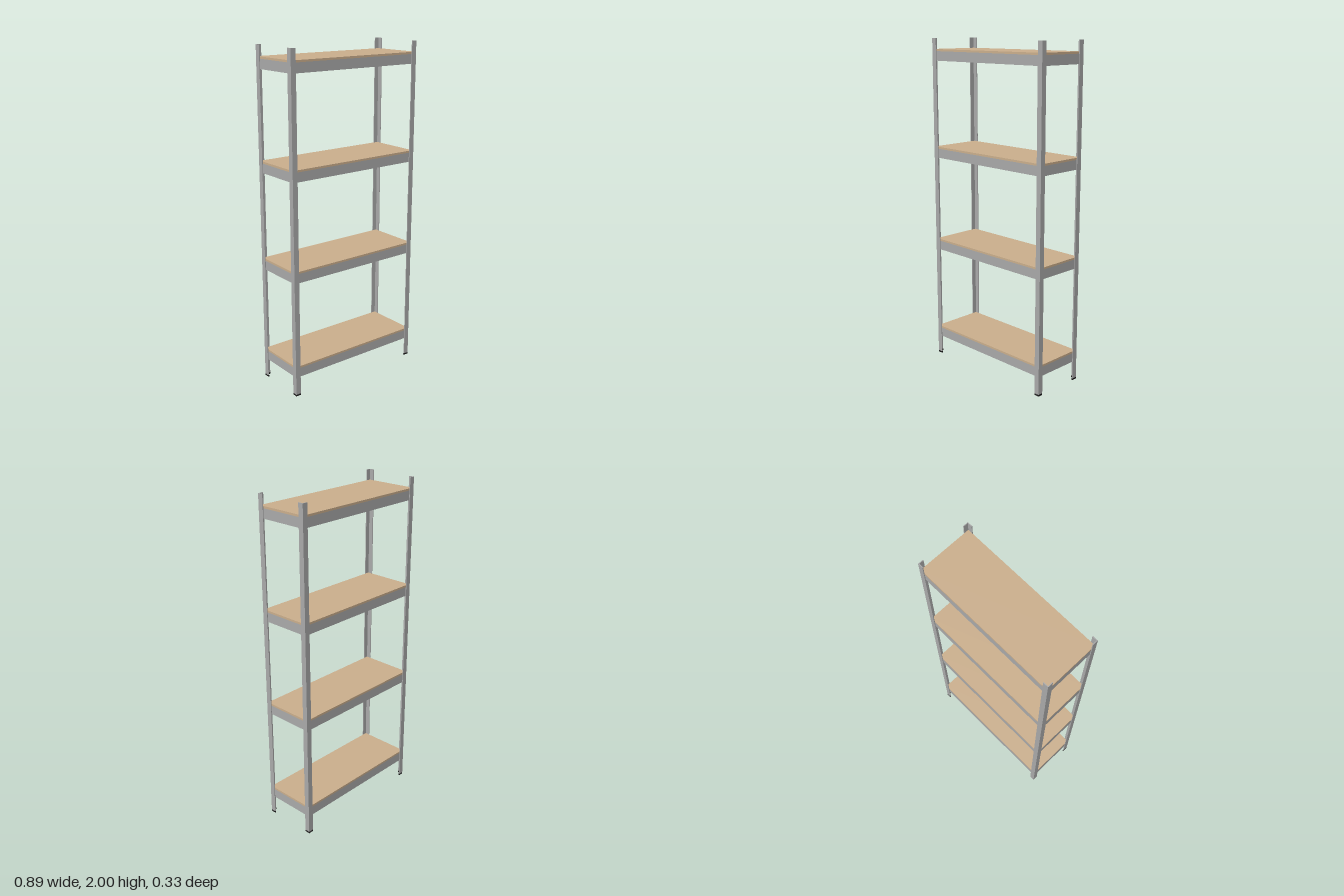
import * as THREE from 'three';

const W = 0.443, D = 0.166, H = 2;       // half width, half depth, height
const FLANGE = 0.032, T = 0.0045;        // post flange width and sheet thickness
const FOOT_H = 0.01;
const BEAM_H = 0.056, BEAM_T = 0.004, BOARD_H = 0.012;
const SHELF_Y = [0.117, 0.701, 1.285, 1.869]; // underside of each shelf frame

export function createModel() {
  const model = new THREE.Group();
  model.name = 'shelvingUnit';

  const steel = new THREE.MeshStandardMaterial({ color: 0xa9a9a9 });
  steel.name = 'galvanised steel';
  const wood = new THREE.MeshStandardMaterial({ color: 0xcaae8c });
  wood.name = 'fibreboard';
  const rubber = new THREE.MeshStandardMaterial({ color: 0x1c1c1c });
  rubber.name = 'black plastic';

  // L-shaped prism with its outer corner on (sx*W, sz*D)
  function addAngle(name, sx, sz, y, height, thick, material, parent) {
    const pts = [[0, 0], [FLANGE, 0], [FLANGE, thick], [thick, thick], [thick, FLANGE], [0, FLANGE]];
    const shape = new THREE.Shape(pts.map(([a, b]) => new THREE.Vector2(sx * (W - a), -sz * (D - b))));
    const geo = new THREE.ExtrudeGeometry(shape, { depth: height, bevelEnabled: false });
    geo.rotateX(-Math.PI / 2);
    const mesh = new THREE.Mesh(geo, material);
    mesh.name = name;
    mesh.position.y = y;
    parent.add(mesh);
  }

  function addBox(name, w, h, d, x, y, z, material, parent) {
    const mesh = new THREE.Mesh(new THREE.BoxGeometry(w, h, d), material);
    mesh.name = name;
    mesh.position.set(x, y, z);
    parent.add(mesh);
  }

  // Corner posts with plastic feet
  for (const sx of [1, -1]) {
    for (const sz of [1, -1]) {
      const corner = (sz > 0 ? 'front' : 'back') + (sx > 0 ? 'Left' : 'Right');
      addAngle(corner + 'Post', sx, sz, FOOT_H, H - FOOT_H, T, steel, model);
      addAngle(corner + 'Foot', sx, sz, 0, FOOT_H, T * 1.5, rubber, model);
    }
  }

  // Shelves: four thin beams with a board lying on top
  const hw = W - T, hd = D - T;
  SHELF_Y.forEach((y, i) => {
    const shelf = new THREE.Group();
    shelf.name = 'shelf' + (i + 1);
    shelf.position.y = y;
    for (const s of [1, -1]) {
      addBox(s > 0 ? 'frontBeam' : 'backBeam', 2 * hw, BEAM_H, BEAM_T,
        0, BEAM_H / 2, s * (hd - BEAM_T / 2), steel, shelf);
      addBox(s > 0 ? 'leftBeam' : 'rightBeam', BEAM_T, BEAM_H, 2 * (hd - BEAM_T),
        s * (hw - BEAM_T / 2), BEAM_H / 2, 0, steel, shelf);
    }
    addBox('board', 2 * hw, BOARD_H, 2 * hd, 0, BEAM_H + BOARD_H / 2, 0, wood, shelf);
    model.add(shelf);
  });

  return model;
}
